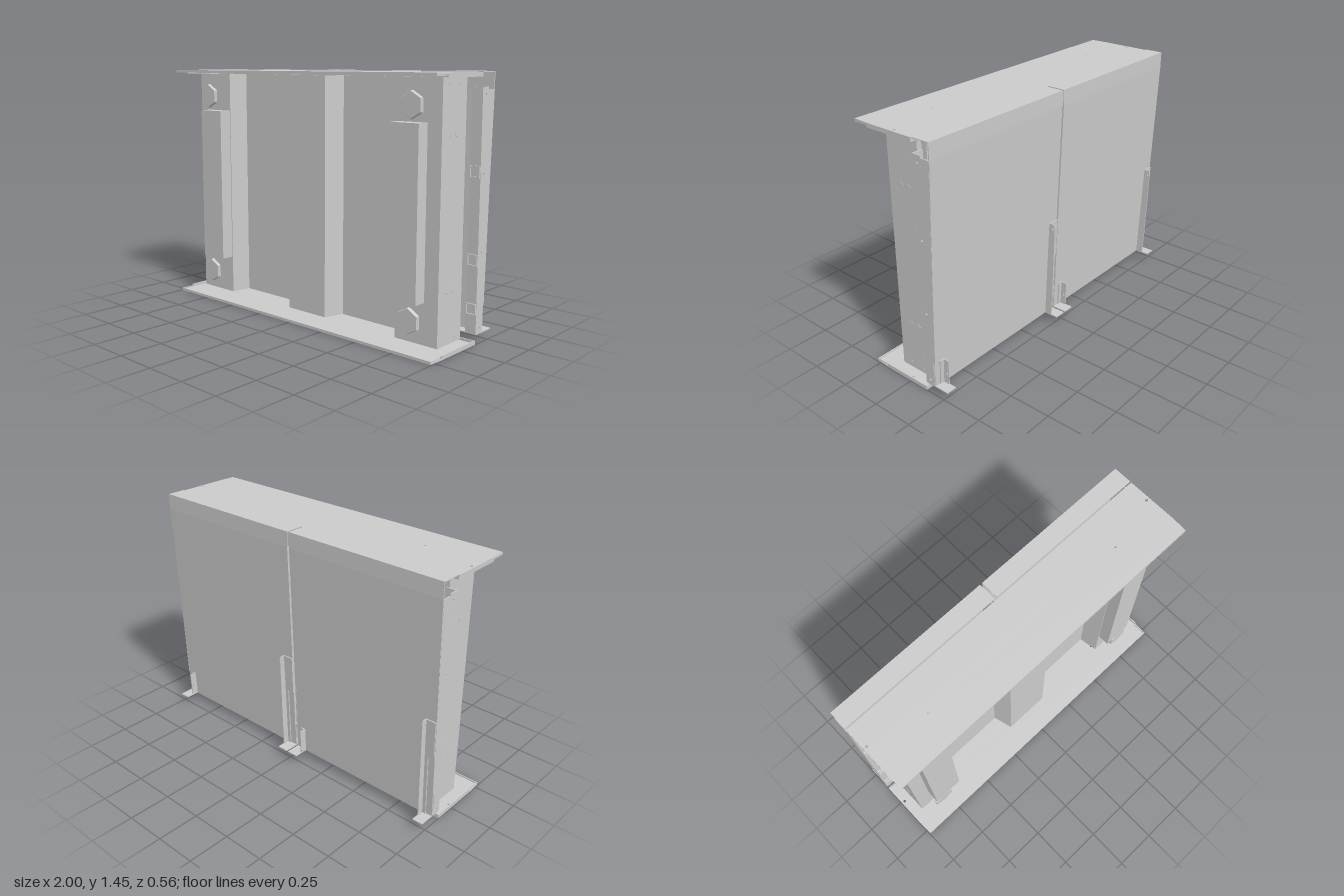
import * as THREE from 'three';

export function createModel() {
  const root = new THREE.Group();
  const mat = new THREE.MeshStandardMaterial({ color: 0xcccccc, side: THREE.DoubleSide });
  const flat = new THREE.MeshStandardMaterial({ color: 0xcccccc, flatShading: true });

  const add = (name, geo, material = mat, parent = root) => {
    const mesh = new THREE.Mesh(geo, material);
    mesh.name = name;
    parent.add(mesh);
    return mesh;
  };
  const box = (name, x0, x1, y0, y1, z0, z1, parent) => add(name,
    new THREE.BoxGeometry(Math.abs(x1 - x0), y1 - y0, z1 - z0)
      .translate((x0 + x1) / 2, (y0 + y1) / 2, (z0 + z1) / 2), mat, parent);
  const extrude = (pts, depth, holes = []) => {
    const shape = new THREE.Shape(pts.map(p => new THREE.Vector2(...p)));
    for (const [x, y, r] of holes) {
      shape.holes.push(new THREE.Path().absarc(x, y, r, 0, Math.PI * 2, true));
    }
    return new THREE.ExtrudeGeometry(shape, { depth, bevelEnabled: false, curveSegments: 5 });
  };
  // Outline given in (z, y), filling x0..x1
  const sideSheet = (name, pts, x0, x1, holes, parent) => add(name,
    extrude(pts, x1 - x0, holes).rotateY(-Math.PI / 2).translate(x1, 0, 0), mat, parent);
  // Outline given in (x, z), filling y0..y1
  const flatSheet = (name, pts, y0, y1, holes) => add(name,
    extrude(pts, y1 - y0, holes).rotateX(Math.PI / 2).translate(0, y1, 0));

  // Folded front wall: raised side posts and centre rib, recessed bays
  const mirrored = half => [...half, ...half.map(([x, z]) => [-x, z]).reverse()];
  const outer = mirrored([[0.9, -0.12], [0.9, -0.085], [0.93, -0.085], [0.93, 0.13],
    [0.655, 0.13], [0.635, 0.01], [0.18, 0.01], [0.145, 0.13]]);
  const inner = mirrored([[0.893, -0.12], [0.893, -0.078], [0.923, -0.078], [0.923, 0.123],
    [0.661, 0.123], [0.641, 0.003], [0.174, 0.003], [0.139, 0.123]]);
  flatSheet('foldedFrontWall', [...outer, ...inner.reverse()], 0.03, 1.422);

  // Top and bottom trays: sheet, thin front lip, deeper side and back rims
  const plate = [[-1, -0.122], [1, -0.122], [1, 0.19], [0.995, 0.275], [-0.995, 0.275], [-1, 0.19]];
  const plateHoles = [[-0.98, 0.01, 0.009], [0.98, 0.01, 0.009], [-0.655, 0.09, 0.006], [0.655, 0.09, 0.006]];
  for (const [name, y0, y1, r0, r1, l0, l1] of [
    ['topTray', 1.438, 1.446, 1.422, 1.44, 1.43, 1.446],
    ['bottomTray', 0.004, 0.012, 0.01, 0.028, 0.004, 0.02],
  ]) {
    flatSheet(name + 'Sheet', plate, y0, y1, plateHoles);
    box(name + 'FrontLip', -0.995, 0.995, l0, l1, 0.272, 0.278);
    box(name + 'BackRim', -1, 1, r0, r1, -0.122, -0.116);
    for (const s of [-1, 1]) {
      box(name + 'SideRim', s * 0.993, s, r0, r1, -0.122, 0.19);
      box(name + 'SideLip', s * 0.988, s * 0.994, l0, l1, 0.19, 0.275);
    }
  }

  // Bars, hexagonal feet and side fasteners
  for (const s of [-1, 1]) {
    box('frontBar', s * 0.66, s * 0.843, 0.26, 1.195, 0.128, 0.206);
    for (const y of [0.165, 1.285]) {
      const profile = [[0, 0.152], [0.036, 0.152], [0.073, 0.178], [0.073, 0.193], [0.069, 0.198], [0, 0.198]];
      const foot = new THREE.LatheGeometry(profile.map(p => new THREE.Vector2(...p)), 6);
      add('hexFoot', foot.rotateX(Math.PI / 2), flat).position.set(s * 0.785, y, 0);
    }
    const fasteners = [];
    for (const y of [0.32, 1.135]) fasteners.push([0.045, y, 0.018], [-0.007, y, 0.018]);
    for (const y of [0.06, 1.39]) fasteners.push([0.067, y, 0.009], [-0.03, y, 0.009]);
    for (const [z, y, r] of fasteners) {
      add('sideFastener', new THREE.CylinderGeometry(r, r, 0.006, 6).rotateZ(Math.PI / 2), flat)
        .position.set(s * 0.929, y, z);
    }
  }

  // Two rear doors, each folded from hood top to bottom flange
  const doorProfile = [[-0.13, 1.45], [-0.24, 1.45], [-0.24, 1.36], [-0.19, 0.056], [-0.13, 0.056],
    [-0.13, 0.062], [-0.185, 0.062], [-0.235, 1.36], [-0.235, 1.445], [-0.13, 1.445]];
  const cheek = [[-0.125, 0.06], [-0.125, 1.37], [-0.18, 1.37], [-0.18, 1.358], [-0.235, 1.358],
    [-0.198, 0.21], [-0.185, 0.21], [-0.185, 0.06]];
  const cheekHoles = [0.09, 0.5, 0.92, 1.33].map(y => [-0.157, y, 0.006]);
  for (const s of [-1, 1]) {
    const door = new THREE.Group();
    door.name = s > 0 ? 'leftDoor' : 'rightDoor';
    root.add(door);
    const span = (a, b) => [Math.min(s * a, s * b), Math.max(s * a, s * b)];
    sideSheet('doorPanel', doorProfile, ...span(0.007, 0.999), [], door);
    for (const [edge, inn, wide] of [[1, 0.994, 0.935], [0.007, 0.013, 0.07]]) {
      sideSheet('doorCheek', cheek, ...span(edge, inn), cheekHoles, door);
      box('doorReturn', s * edge, s * wide, 0.06, 1.37, -0.131, -0.125, door);
    }
    // Clips on the outer return: raised square frames
    for (const [y0, y1] of [[0.165, 0.227], [0.432, 0.495], [0.902, 0.966]]) {
      for (const y of [y0, y1 - 0.006]) box('clipEdge', s * 0.937, s * 0.998, y, y + 0.006, -0.131, -0.116, door);
      for (const x of [0.937, 0.992]) box('clipEdge', s * x, s * (x + 0.006), y0, y1, -0.131, -0.116, door);
    }
  }

  // Rear brackets: upright fin, backing strip against the door, foot tab
  const bracket = (x0, x1, finX, long) => {
    const g = new THREE.Group();
    g.name = long ? 'longBracket' : 'shortBracket';
    root.add(g);
    const h = long ? 0.67 : 0.21;
    const doorZ = y => -0.19 - (y - 0.056) * 0.0383;
    const fin = long
      ? [[doorZ(0.06), 0.06], [-0.234, 0.06], [-0.241, 0.21], [-0.253, 0.65], [-0.246, h], [doorZ(h), h]]
      : [[doorZ(0.06), 0.06], [-0.232, 0.06], [-0.238, h], [doorZ(h), h]];
    sideSheet('bracketFin', fin, finX, finX + 0.006,
      long ? [[-0.24, 0.64, 0.006]] : [[-0.222, 0.125, 0.006]], g);
    const strip = [[doorZ(0.06), 0.06], [doorZ(0.06) - 0.007, 0.06], [doorZ(h) - 0.007, h], [doorZ(h), h]];
    if (long) {
      const mid = [[doorZ(0.44), 0.44], [doorZ(0.44) - 0.007, 0.44], strip[2], strip[3]];
      sideSheet('bracketPad', mid, x0, x1, [], g);
      sideSheet('bracketStrip', strip, finX - 0.02, finX + 0.006, [], g);
    } else {
      sideSheet('bracketStrip', strip, finX, finX + 0.03, [], g);
    }
    box('bracketFoot', x0, x1, 0.055, 0.061, -0.278, -0.17, g);
  };
  bracket(0.006, 0.074, 0.068, true);
  bracket(-0.998, -0.935, -0.941, true);
  bracket(0.935, 0.998, 0.935, false);
  bracket(-0.074, -0.006, -0.074, false);

  return root;
}
